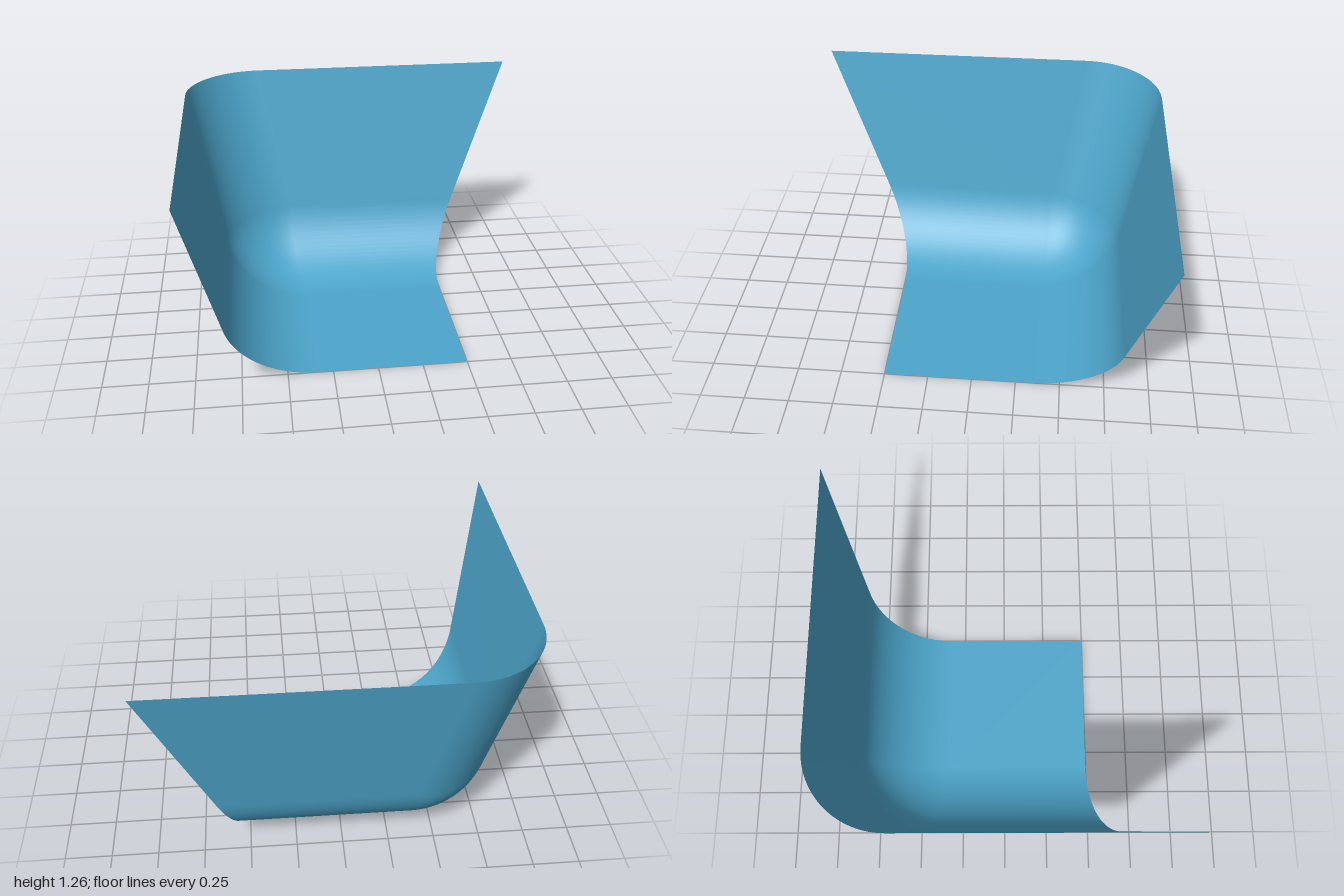
import * as THREE from 'three';

const HEIGHT = 1.26;
const FILLET = 0.5;        // radius between walls and floor
const FLOOR_EDGE = -0.336; // where the flat floor begins
const CORNER = 0.43;       // rounding of the upright corner
const LEAN = Math.atan(0.2024);

// Rows from rim to floor: w = wall position, y = height, r = corner rounding
function profileRows() {
  const rows = [{ w: -1, y: HEIGHT, r: CORNER }];
  const steps = 24;
  for (let i = 0; i <= steps; i++) {
    const t = THREE.MathUtils.lerp(LEAN, Math.PI / 2, i / steps);
    const reach = FILLET * Math.cos(t);
    rows.push({
      w: FLOOR_EDGE - reach,
      y: FILLET * (1 - Math.sin(t)),
      r: CORNER * reach / (FILLET * Math.cos(LEAN)),
    });
  }
  rows.push({ w: 0.5, y: 0, r: 0 }); // far corner closes the floor
  return rows;
}

// One level: back wall, rounded corner, right wall
function levelPoints({ w, y, r }) {
  const edge = 0.5 + 0.5 * y / HEIGHT;
  const c = w + r;
  const points = [[edge, y, w]];
  const steps = 24;
  for (let i = 0; i <= steps; i++) {
    const a = i / steps * Math.PI / 2;
    points.push([c - r * Math.sin(a), y, c - r * Math.cos(a)]);
  }
  points.push([w, y, edge]);
  return points;
}

function loft(levels) {
  const n = levels[0].length;
  const index = [];
  for (let i = 0; i < levels.length - 1; i++) {
    for (let j = 0; j < n - 1; j++) {
      const a = i * n + j, b = a + n;
      index.push(a, a + 1, b, a + 1, b + 1, b);
    }
  }
  const geometry = new THREE.BufferGeometry();
  geometry.setAttribute('position', new THREE.Float32BufferAttribute(levels.flat(2), 3));
  geometry.setIndex(index);
  geometry.computeVertexNormals();
  return geometry;
}

export function createModel() {
  const model = new THREE.Group();
  model.name = 'roundedCorner';

  // Two leaning walls blended into a floor, as one thin sheet
  const shell = new THREE.Mesh(
    loft(profileRows().map(levelPoints)),
    new THREE.MeshStandardMaterial({ color: 0x4da6cc, side: THREE.DoubleSide })
  );
  shell.name = 'cornerShell';
  model.add(shell);
  return model;
}
